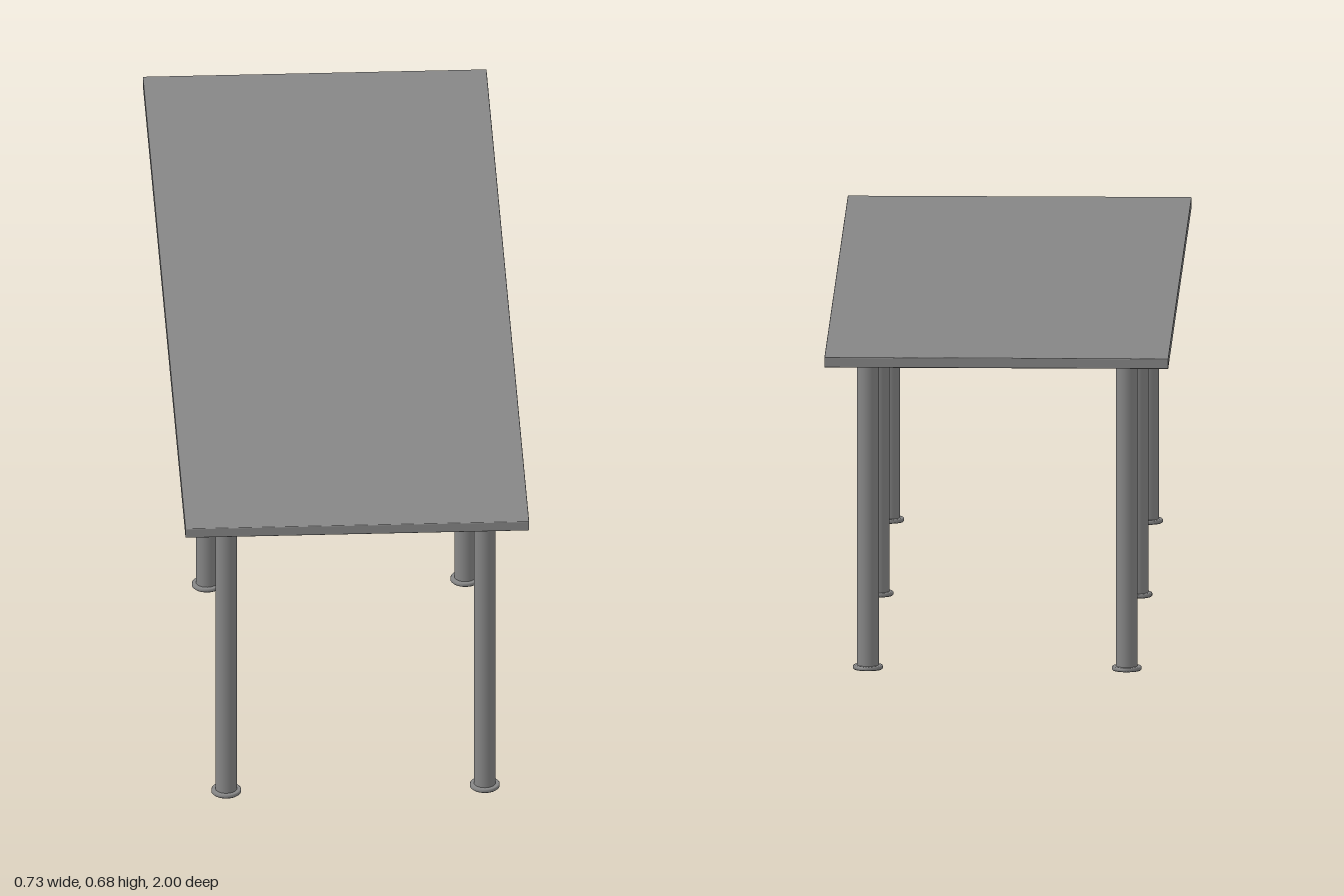
import * as THREE from 'three';
import { RoundedBoxGeometry } from 'three/addons/geometries/RoundedBoxGeometry.js';

const HEIGHT = 0.682, THICKNESS = 0.022;
const UNDERSIDE = HEIGHT - THICKNESS;
const FOOT = 0.009;

export function createModel() {
  const group = new THREE.Group();
  group.name = 'table';
  const material = new THREE.MeshStandardMaterial({ color: 0x868686 });

  const add = (parent, name, geometry, y) => {
    const mesh = new THREE.Mesh(geometry, material);
    mesh.name = name;
    mesh.position.y = y;
    parent.add(mesh);
  };

  // Thin slab with slightly eased edges
  add(group, 'tabletop', new RoundedBoxGeometry(0.726, THICKNESS, 2, 2, 0.002), HEIGHT - THICKNESS / 2);

  // Round post, and a foot disc with a small bevel at top and bottom
  const postGeometry = new THREE.CylinderGeometry(0.023, 0.023, UNDERSIDE - FOOT, 32);
  const footProfile = [[0, 0], [0.0295, 0], [0.0315, 0.002], [0.0315, 0.007], [0.0295, FOOT], [0, FOOT]]
    .map(([r, y]) => new THREE.Vector2(r, y));
  const footGeometry = new THREE.LatheGeometry(footProfile, 32);

  // Three pairs of legs along the length
  for (const z of [-0.911, 0, 0.911]) {
    for (const x of [-0.273, 0.273]) {
      const leg = new THREE.Group();
      leg.name = `${z > 0 ? 'front' : z < 0 ? 'back' : 'middle'}${x > 0 ? 'Left' : 'Right'}Leg`;
      leg.position.set(x, 0, z);
      add(leg, 'post', postGeometry, (UNDERSIDE + FOOT) / 2);
      add(leg, 'foot', footGeometry, 0);
      group.add(leg);
    }
  }
  return group;
}
